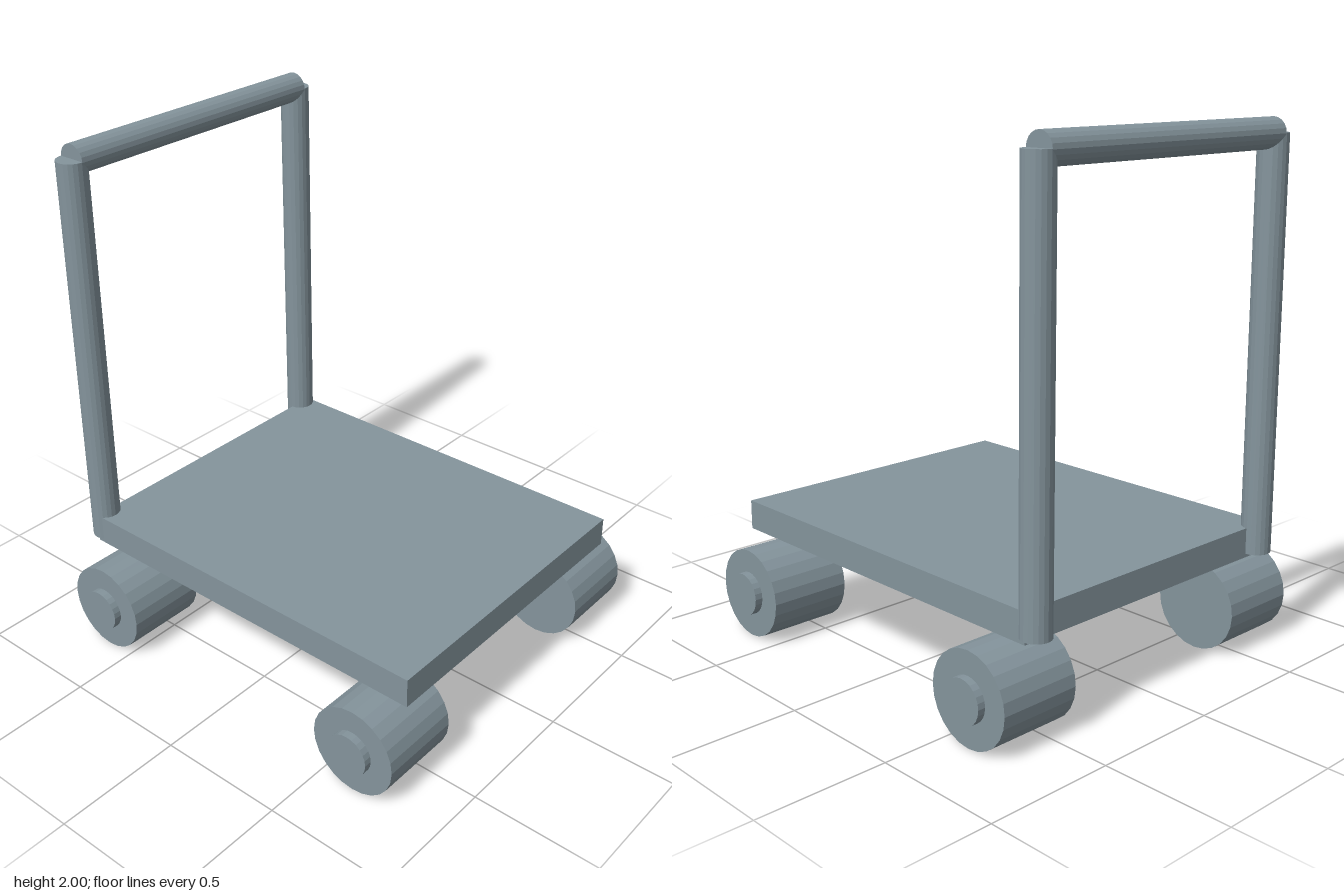
import * as THREE from 'three';

export function createModel() {
  const cart = new THREE.Group();
  cart.name = 'platformCart';
  const paint = new THREE.MeshStandardMaterial({ color: 0x84949c, flatShading: true });
  paint.name = 'blueGrey';

  const add = (name, geometry, x, y, z) => {
    const mesh = new THREE.Mesh(geometry, paint);
    mesh.name = name;
    mesh.position.set(x, y, z);
    cart.add(mesh);
    return mesh;
  };
  const rod = (radius, length, sides) => new THREE.CylinderGeometry(radius, radius, length, sides);
  const alongX = (geometry) => geometry.rotateZ(Math.PI / 2);

  // Load deck
  add('deck', new THREE.BoxGeometry(1.26, 0.115, 1.55), 0, 0.4325, 0.015);

  // Push handle: crossbar resting in the tops of two posts
  add('handleBar', alongX(rod(0.057, 1.16, 20)), 0, 1.943, -0.763);

  for (const side of [1, -1]) {
    const label = side > 0 ? 'left' : 'right';
    add(label + 'HandlePost', rod(0.057, 1.555, 20), side * 0.582, 1.1675, -0.763);

    // Wheels with a hub on the outer face
    for (const [end, z] of [['Front', 0.646], ['Back', -0.615]]) {
      add(label + end + 'Wheel', alongX(rod(0.174, 0.325, 24)), side * 0.5825, 0.174, z);
      add(label + end + 'Hub', alongX(rod(0.083, 0.06, 24)), side * 0.745, 0.176, z);
    }
  }
  return cart;
}
